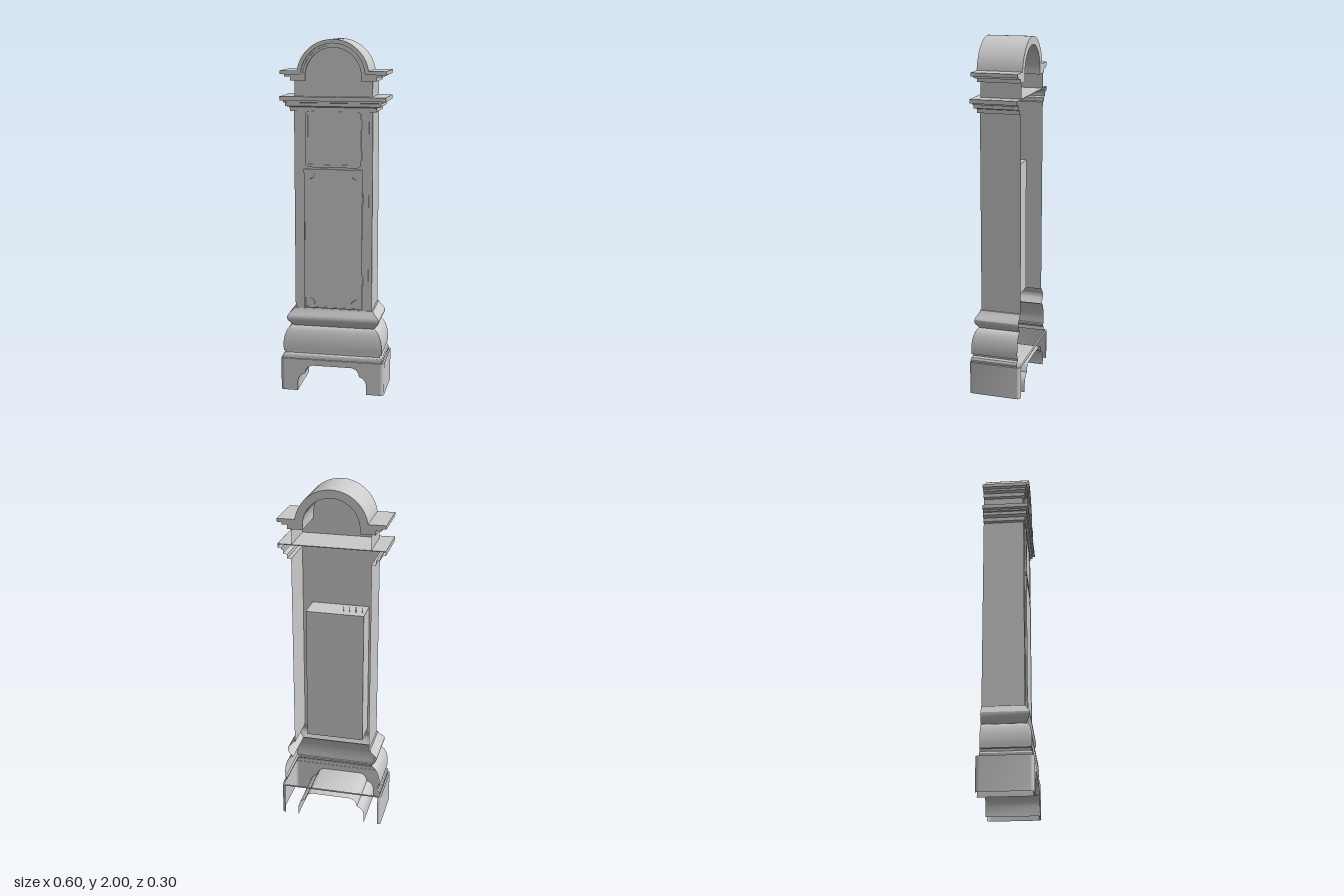
import * as THREE from 'three';
import { toCreasedNormals } from 'three/addons/utils/BufferGeometryUtils.js';

const BACK = -0.13, FRONT = 0.1, HALF = 0.22;
const material = new THREE.MeshStandardMaterial({ color: 0xcccccc, side: THREE.DoubleSide });

function add(group, name, geometry, x = 0, y = 0, z = 0) {
  const mesh = new THREE.Mesh(geometry, material);
  mesh.name = name;
  mesh.position.set(x, y, z);
  group.add(mesh);
  return mesh;
}

// Surface through equal rows of [x, y, z] points
function loft(rows) {
  const pos = [], idx = [], n = rows[0].length;
  rows.forEach(r => r.forEach(p => pos.push(...p)));
  for (let i = 0; i < rows.length - 1; i++) {
    for (let j = 0; j < n - 1; j++) {
      const a = i * n + j, d = a + n;
      idx.push(a, a + 1, d + 1, a, d + 1, d);
    }
  }
  const g = new THREE.BufferGeometry();
  g.setAttribute('position', new THREE.Float32BufferAttribute(pos, 3));
  g.setIndex(idx);
  return toCreasedNormals(g, 0.5);
}

// Profile of [offset, y] carried round both sides and the front, open at the back
function wrap(profile, depthScale) {
  return loft(profile.map(([d, y]) => {
    const x = HALF + d, z = FRONT + d * depthScale;
    return [[-x, y, BACK], [-x, y, z], [x, y, z], [x, y, BACK]];
  }));
}

function extrude(shape, depth) {
  return new THREE.ExtrudeGeometry(shape, { depth, bevelEnabled: false, curveSegments: 24 });
}

function roundRect(path, w, h, r) {
  path.moveTo(w, -h + r);
  path.absarc(w - r, h - r, r, 0, Math.PI / 2);
  path.absarc(-w + r, h - r, r, Math.PI / 2, Math.PI);
  path.absarc(-w + r, -h + r, r, Math.PI, Math.PI * 1.5);
  path.absarc(w - r, -h + r, r, Math.PI * 1.5, Math.PI * 2);
  return path;
}

function frame(w, h, r, t, depth) {
  const s = roundRect(new THREE.Shape(), w, h, r);
  s.holes.push(roundRect(new THREE.Path(), w - t, h - t, Math.max(r - t, 0.002)));
  return extrude(s, depth);
}

// Horizontal arms joined by a half-round arch
function archBand(hw, y0, y1, rIn, rOut) {
  const cy = 1.8;
  const a = Math.asin(Math.max(0, y1 - cy) / rOut), b = Math.asin(Math.max(0, y0 - cy) / rIn);
  const s = new THREE.Shape();
  s.moveTo(rIn * Math.cos(b), y0);
  s.lineTo(hw, y0);
  s.lineTo(hw, y1);
  s.absarc(0, cy, rOut, a, Math.PI - a, false);
  s.lineTo(-hw, y1);
  s.lineTo(-hw, y0);
  s.lineTo(-rIn * Math.cos(b), y0);
  s.absarc(0, cy, rIn, Math.PI - b, b, true);
  return s;
}

function buildPlinth(group) {
  const H = 0.19;
  // Stepped cutout between the feet, right half
  const half = [[0.2, 0], [0.2, 0.055], [0.193, 0.078], [0.178, 0.096], [0.158, 0.106], [0.152, 0.128], [0.138, 0.146], [0.115, 0.155]];
  const cut = [...half, ...half.map(([x, y]) => [-x, y]).reverse()];
  const s = new THREE.Shape();
  s.moveTo(-0.28, 0);
  s.lineTo(-0.28, H);
  s.lineTo(0.28, H);
  s.lineTo(0.28, 0);
  cut.forEach(([x, y]) => s.lineTo(x, y));
  add(group, 'plinthFront', extrude(s, 0.008), 0, 0, 0.142);
  add(group, 'plinthArchway', loft(cut.map(([x, y]) => [[x, y, -0.15], [x, y, 0.143]])));

  // Side walls with rounded corners
  for (const m of [-1, 1]) {
    const line = [];
    for (let i = 0; i <= 6; i++) {
      const t = Math.PI / 2 * i / 6;
      line.push([m * (0.28 + 0.02 * Math.sin(t)), 0.13 + 0.02 * Math.cos(t)]);
    }
    line.push(...line.slice().reverse().map(([x, z]) => [x, -z]));
    if (m < 0) line.reverse();
    add(group, 'plinthSide', loft([0, H].map(y => line.map(([x, z]) => [x, y, z]))));
  }
  const rim = frame(0.3, 0.15, 0.02, 0.01, 0.004);
  rim.rotateX(-Math.PI / 2);
  add(group, 'plinthRim', rim, 0, H - 0.004, 0);
}

function buildBase(group) {
  const bulge = [];
  for (let i = 0; i <= 12; i++) {
    const t = Math.PI / 2 * i / 12;
    bulge.push([0.013 + 0.052 * Math.cos(t), 0.265 + 0.115 * Math.sin(t)]);
  }
  add(group, 'baseMoulding', wrap([
    [0.068, 0.19], [0.07, 0.205], [0.065, 0.215], [0.052, 0.222], [0.052, 0.233], [0.063, 0.235],
    ...bulge, [0.015, 0.382], [0.038, 0.408], [0.045, 0.422], [0.045, 0.436], [0.038, 0.448],
    [0.012, 0.474], [0.008, 0.484], [0, 0.484]], 0.63));
}

function buildBody(group) {
  add(group, 'bodyShell', wrap([[0, 0.48], [0, 1.61]], 1));
  add(group, 'frontPanel', new THREE.BoxGeometry(0.4, 1.13, 0.003), 0, 1.045, FRONT + 0.0015);
  add(group, 'innerCabinet', new THREE.BoxGeometry(0.33, 0.78, 0.148), 0, 0.89, 0.024);

  // Long door with corner ornaments
  add(group, 'door', new THREE.BoxGeometry(0.33, 0.8, 0.006), 0, 0.89, 0.106);
  add(group, 'doorBead', frame(0.165, 0.4, 0.003, 0.006, 0.003), 0, 0.89, 0.109);
  for (const x of [-1, 1]) for (const y of [-1, 1]) {
    const arc = new THREE.TorusGeometry(0.03, 0.002, 5, 10, Math.PI / 2);
    const mesh = add(group, 'doorCornerOrnament', arc, x * 0.135, 0.89 + y * 0.375, 0.109);
    mesh.rotation.z = x > 0 ? (y > 0 ? Math.PI : Math.PI / 2) : (y > 0 ? -Math.PI / 2 : 0);
  }

  // Rounded dial window
  add(group, 'dialFrame', frame(0.157, 0.155, 0.025, 0.016, 0.009), 0, 1.455, 0.103);
  add(group, 'dialPane', new THREE.BoxGeometry(0.29, 0.285, 0.003), 0, 1.455, 0.105);

  for (const y of [0.66, 1.13, 1.37, 1.54]) {
    add(group, 'hinge', new THREE.CylinderGeometry(0.005, 0.005, 0.055, 10), y > 1.3 ? 0.157 : 0.167, y, 0.107);
  }
  for (let i = 0; i < 4; i++) {
    add(group, 'cabinetPeg', new THREE.CylinderGeometry(0.002, 0.002, 0.03, 6), -0.04 - i * 0.035, 1.295, 0);
  }
}

function buildHood(group) {
  add(group, 'lowerCornice', wrap([[0, 1.61], [0.022, 1.61], [0.022, 1.632], [0.045, 1.638],
    [0.045, 1.656], [0.055, 1.658], [0.055, 1.667], [0.075, 1.667], [0.075, 1.69]], 0.43));
  add(group, 'corniceShelf', new THREE.BoxGeometry(0.588, 0.004, 0.261), 0, 1.688, 0.001);
  add(group, 'hoodShell', wrap([[-0.003, 1.69], [-0.003, 1.78]], 1));

  // Half-round panel under the arch
  const s = new THREE.Shape();
  s.moveTo(-0.16, 1.77);
  s.lineTo(0.16, 1.77);
  s.absarc(0, 1.8, 0.16, 0, Math.PI, false);
  add(group, 'archPanel', new THREE.ShapeGeometry(s, 24), 0, 0, FRONT);

  // Stepped arched cornice
  const bands = [
    [0.295, 1.81, 1.83, 0.178, 0.2, 0.124],
    [0.27, 1.798, 1.812, 0.168, 0.18, 0.116],
    [0.24, 1.775, 1.8, 0.155, 0.17, 0.109]];
  for (const [hw, y0, y1, rIn, rOut, z] of bands) {
    const g = toCreasedNormals(extrude(archBand(hw, y0, y1, rIn, rOut), z - BACK), 0.5);
    add(group, 'archedCornice', g, 0, 0, BACK);
  }
}

export function createModel() {
  const model = new THREE.Group();
  model.name = 'longcaseClock';
  const parts = { plinth: buildPlinth, base: buildBase, body: buildBody, hood: buildHood };
  for (const [name, build] of Object.entries(parts)) {
    const g = new THREE.Group();
    g.name = name;
    build(g);
    model.add(g);
  }
  return model;
}
